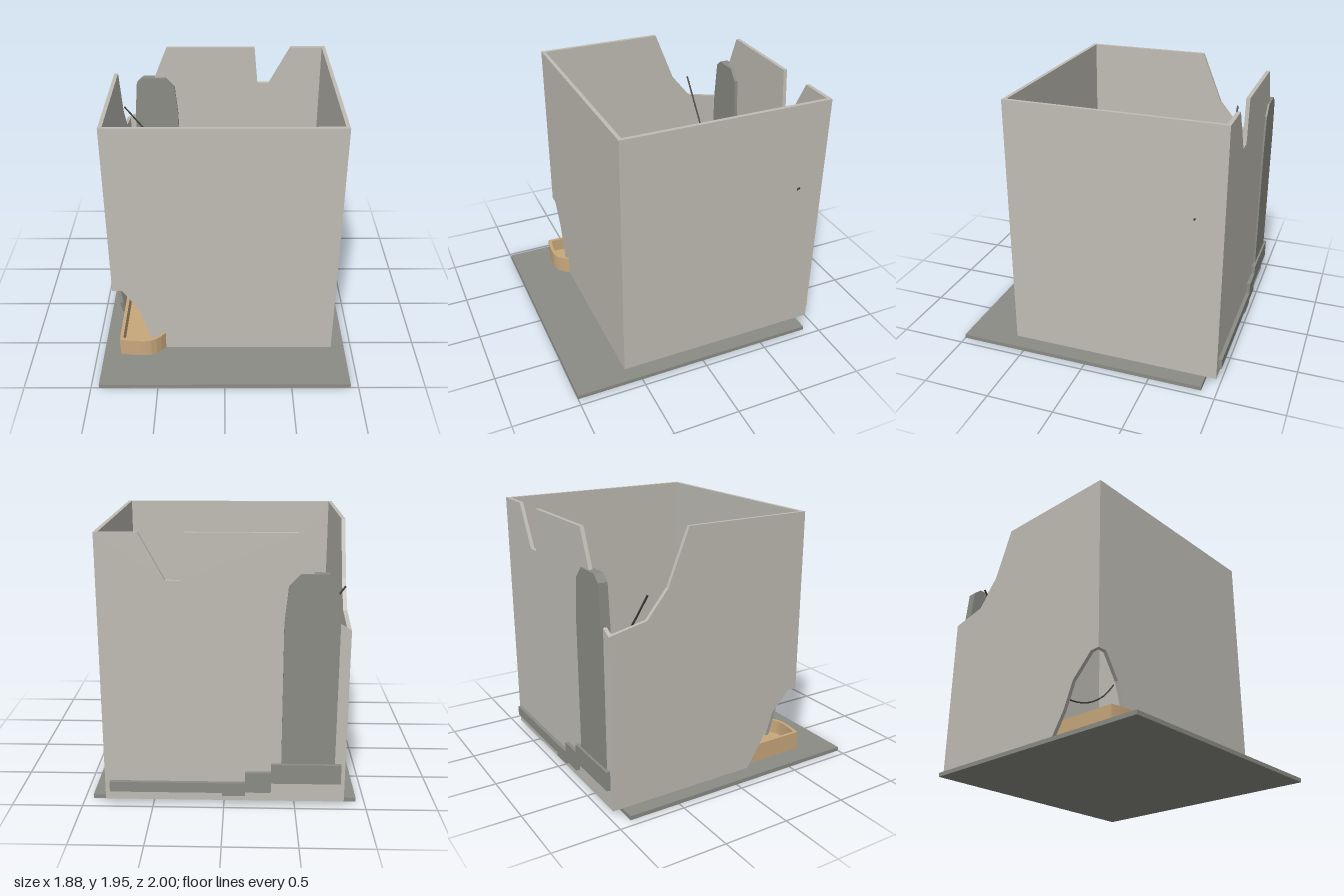
import * as THREE from 'three';

const mat = (name, color) => {
  const m = new THREE.MeshStandardMaterial({ color });
  m.name = name;
  return m;
};

export function createModel() {
  const model = new THREE.Group();
  const wallGrey = mat('light grey', 0xc0bdb5);
  const darkGrey = mat('mid grey', 0x8c8c86);
  const tan = mat('tan', 0xc8a87c);
  const cableGrey = mat('charcoal', 0x42423e);

  const add = (name, geometry, material) => {
    const mesh = new THREE.Mesh(geometry, material);
    mesh.name = name;
    model.add(mesh);
  };
  const outline = (pts) => new THREE.Shape(pts.map(([x, y]) => new THREE.Vector2(x, y)));
  const extrude = (shape, depth) => new THREE.ExtrudeGeometry(shape, { depth, bevelEnabled: false, curveSegments: 10 });
  // Upright plate in x,y from z0 to z1
  const facing = (pts, z0, z1) => extrude(outline(pts), z1 - z0).translate(0, 0, z0);
  // Upright plate in z,y from x0 to x1
  const sideways = (pts, x0, x1) => extrude(outline(pts), x1 - x0).rotateY(-Math.PI / 2).translate(x1, 0, 0);
  // Flat plate in x,z from y0 to y1
  const lying = (shape, y0, y1) => extrude(shape, y1 - y0).rotateX(Math.PI / 2).translate(0, y1, 0);

  // Base slab
  add('basePlate', new THREE.BoxGeometry(1.88, 0.03, 1.89).translate(0, 0.015, 0.055), darkGrey);

  // Four walls with broken corners
  const L = -0.845, R = 0.835, F = 0.6, B = -0.972, T = 0.028, lo = 0.045, hi = 1.945;
  add('frontWall', facing([
    [R, lo], [R, hi], [L, hi], [L, 0.6], [-0.77, 0.597], [-0.655, 0.42], [-0.62, 0.31], [-0.585, 0.19], [-0.54, lo],
  ], F - T, F), wallGrey);
  add('backWall', facing([
    [L, lo], [R, lo], [R, hi], [0.55, hi], [0.38, 1.63], [0.28, 1.63], [0.25, hi],
    [-0.48, hi], [-0.6, 1.66], [-0.7, 1.38], [L, 1.3],
  ], B, B + T), wallGrey);
  add('leftWall', sideways([[B, lo], [F, lo], [F, hi], [B, hi]], R - T, R), wallGrey);
  add('rightWall', sideways([
    [B, lo], [0.17, lo], [0.29, 0.24], [0.37, 0.43], [0.53, 0.595], [F, 0.6],
    [F, hi], [-0.37, hi], [-0.53, 1.555], [-0.69, 1.36], [B, 1.3],
  ], L, L + T), wallGrey);

  // Upright panel set through the back wall
  add('backPanel', facing([
    [-0.77, 0.34], [-0.4, 0.34], [-0.4, 1.34], [-0.425, 1.6], [-0.5, 1.68],
    [-0.69, 1.68], [-0.745, 1.63], [-0.77, 1.34],
  ], -0.986, -0.918), darkGrey);

  // Stepped shelf along the back
  add('steppedShelf', facing([
    [0.8, 0.115], [0.8, 0.19], [-0.15, 0.19], [-0.15, 0.27], [-0.33, 0.27], [-0.33, 0.335], [-0.815, 0.335],
    [-0.815, 0.192], [-0.33, 0.192], [-0.33, 0.12], [-0.15, 0.12], [-0.15, 0.092], [0.01, 0.092], [0.01, 0.115],
  ], -1, -0.58), darkGrey);

  // Round-nosed tray: rim, then its two-part floor
  const trayOutline = (Type, inset, back) => {
    const left = -0.807 + inset, right = -0.365 - inset, nose = 0.7 - inset;
    const s = new Type();
    s.moveTo(left, back);
    s.lineTo(right, back);
    s.lineTo(right, 0.2);
    s.bezierCurveTo(right, 0.46, -0.46 - inset * 0.5, nose, -0.61, nose);
    s.quadraticCurveTo(-0.72, nose, left, nose - 0.02);
    s.lineTo(left, back);
    return s;
  };
  const rim = trayOutline(THREE.Shape, 0, -0.94);
  rim.holes.push(trayOutline(THREE.Path, 0.024, -0.916));
  add('trayRim', lying(rim, 0.05, 0.191), tan);

  const sand = trayOutline(THREE.Shape, 0.022, -0.49).getPoints(10).slice(1, -1).map((p) => [p.x, p.y]);
  const edge = [];
  for (let i = 0; i <= 12; i++) {
    edge.push([-0.785 + i * 0.0325, -0.497 + 0.006 * Math.sin(i * 1.3)]);
  }
  add('traySand', lying(outline([...edge, ...sand.slice(1)]), 0.052, 0.08), tan);
  add('trayFloor', new THREE.BoxGeometry(0.4, 0.02, 0.44).translate(-0.587, 0.063, -0.705), wallGrey);

  // Sagging cable
  const path = [[-0.83, -0.675], [-0.6, -0.68], [-0.3, -0.655], [0, -0.64], [0.3, -0.66], [0.6, -0.71], [0.86, -0.772]]
    .map(([x, z]) => new THREE.Vector3(x, 1.53 - 1.26 * (x + 0.83) + 0.77 * (x + 0.83) * (x + 0.6), z));
  add('cable', new THREE.TubeGeometry(new THREE.CatmullRomCurve3(path), 48, 0.007, 8), cableGrey);

  return model;
}
